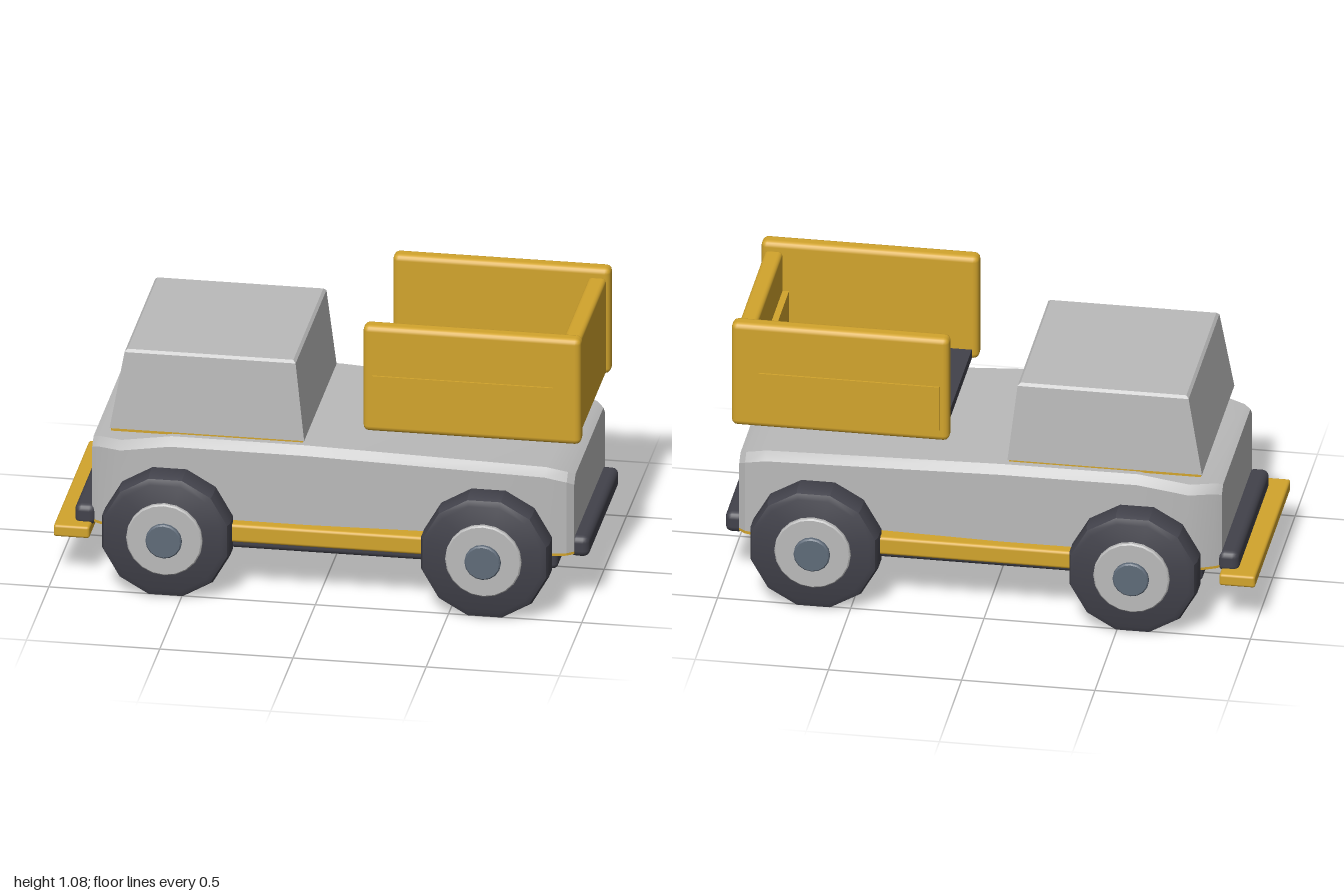
import * as THREE from 'three';
import { RoundedBoxGeometry } from 'three/addons/geometries/RoundedBoxGeometry.js';
import { toCreasedNormals } from 'three/addons/utils/BufferGeometryUtils.js';

const paint = (name, color) => Object.assign(new THREE.MeshStandardMaterial({ color }), { name });

// Joins equal-length rings of points into a closed solid with capped ends
function loft(rings) {
  const n = rings[0].length, pos = rings.flat(2), idx = [];
  for (let s = 0; s < rings.length - 1; s++) {
    for (let i = 0; i < n; i++) {
      const j = (i + 1) % n, a = s * n + i, b = s * n + j;
      idx.push(a, b, a + n, b, b + n, a + n);
    }
  }
  const last = (rings.length - 1) * n;
  for (let i = 1; i < n - 1; i++) {
    idx.push(0, i + 1, i);
    idx.push(last, last + i, last + i + 1);
  }
  const g = new THREE.BufferGeometry();
  g.setAttribute('position', new THREE.Float32BufferAttribute(pos, 3));
  g.setIndex(idx);
  return toCreasedNormals(g, 0.35);
}

export function createModel() {
  const model = new THREE.Group();
  model.name = 'pickupTruck';
  const grey = paint('body grey', 0xbababa);
  const yellow = paint('trim yellow', 0xd2a42c);
  const dark = paint('rubber dark', 0x42424b);
  const steel = paint('hub steel', 0x5f6b79);

  const add = (name, geometry, material, parent = model) => {
    const mesh = new THREE.Mesh(geometry, material);
    mesh.name = name;
    parent.add(mesh);
    return mesh;
  };
  // Box given by its limits, with softened edges of radius r
  const box = (name, material, [x0, x1], [y0, y1], [z0, z1], r = 0) => {
    const size = [x1 - x0, y1 - y0, z1 - z0];
    const g = r ? new RoundedBoxGeometry(...size, 2, r) : new THREE.BoxGeometry(...size);
    return add(name, g, material).position.set((x0 + x1) / 2, (y0 + y1) / 2, (z0 + z1) / 2);
  };

  // Body: cross-sections along x as [x, top height, half width]
  const stations = [
    [-0.865, 0.535, 0.335], [-0.84, 0.545, 0.352], [-0.75, 0.552, 0.392], [-0.56, 0.59, 0.413],
    [-0.05, 0.59, 0.415], [0.84, 0.553, 0.382], [0.92, 0.53, 0.362], [0.945, 0.515, 0.342],
  ];
  add('body', loft(stations.map(([x, top, w]) => [
    [x, 0.215, w], [x, top - 0.03, w], [x, top, w - 0.03],
    [x, top, -w + 0.03], [x, top - 0.03, -w], [x, 0.215, -w],
  ].reverse())), grey);
  // Thin trim under the body
  add('bodyUnderTrim', loft(stations.map(([x, , w]) => [
    [x, 0.205, w], [x, 0.216, w], [x, 0.216, -w], [x, 0.205, -w],
  ].reverse())), yellow);

  // Cab: tapered block on a thin trim plate
  const cabRing = (y, x0, x1, w) => [[x0, y, w], [x1, y, w], [x1, y, -w], [x0, y, -w]];
  add('cab', loft([
    cabRing(0.597, -0.795, -0.065, 0.363),
    cabRing(0.9, -0.742, -0.1, 0.345),
    cabRing(0.91, -0.732, -0.11, 0.335),
  ]), grey);
  box('cabBaseTrim', yellow, [-0.79, -0.07], [0.586, 0.598], [-0.36, 0.36]);

  // Chassis, bumpers and front board
  box('chassis', dark, [-0.79, 0.88], [0.13, 0.207], [-0.33, 0.33], 0.02);
  box('frontBumper', dark, [-0.93, -0.85], [0.19, 0.272], [-0.35, 0.35], 0.025);
  box('rearBumper', dark, [0.925, 1.0], [0.19, 0.272], [-0.34, 0.34], 0.025);
  box('frontBoard', yellow, [-1.0, -0.865], [0.16, 0.207], [-0.4, 0.4], 0.01);

  // Cargo bed
  box('bedFloor', dark, [0.18, 0.9], [0.658, 0.695], [-0.31, 0.31]);
  box('tailgate', yellow, [0.89, 0.957], [0.655, 1.042], [-0.31, 0.31], 0.015);
  box('tailgateInnerPanel', yellow, [0.866, 0.894], [0.69, 0.88], [-0.31, 0.31]);
  for (const s of [1, -1]) {
    const span = (a, b) => (s > 0 ? [a, b] : [-b, -a]);
    box('bedSide', yellow, [0.155, 0.972], [0.653, 1.078], span(0.3, 0.366), 0.022);
    box('bedSidePanel', yellow, [0.19, 0.868], [0.7, 0.882], span(0.364, 0.373));
    box('runningBoard', yellow, [-0.5, 0.57], [0.21, 0.282], span(0.38, 0.458), 0.012);
  }

  // Wheels: twelve-sided tyre with a raised rim and hub cap
  const R = 0.24 / Math.cos(Math.PI / 12);
  const tyreGeo = toCreasedNormals(new THREE.LatheGeometry([
    [0, 0], [R - 0.03, 0], [R - 0.008, 0.01], [R, 0.03],
    [R, 0.1], [R - 0.008, 0.12], [R - 0.03, 0.13], [0, 0.13],
  ].map(p => new THREE.Vector2(...p)), 12, Math.PI / 12), 0.45);
  const disc = (r, h, sides) => toCreasedNormals(new THREE.LatheGeometry([
    [0, 0], [r, 0], [r, h - 0.005], [r - 0.005, h], [0, h],
  ].map(p => new THREE.Vector2(...p)), sides), 0.4);
  const rimGeo = disc(0.143, 0.03, 20), hubGeo = disc(0.068, 0.03, 16);
  for (const [x, end] of [[-0.56, 'front'], [0.637, 'rear']]) {
    for (const s of [1, -1]) {
      const wheel = new THREE.Group();
      wheel.name = end + 'Wheel';
      add('tyre', tyreGeo, dark, wheel);
      add('rim', rimGeo, grey, wheel).position.y = 0.118;
      add('hubCap', hubGeo, steel, wheel).position.y = 0.135;
      wheel.rotation.x = s * Math.PI / 2;
      wheel.position.set(x, 0.24, s * 0.4);
      model.add(wheel);
    }
  }
  return model;
}
